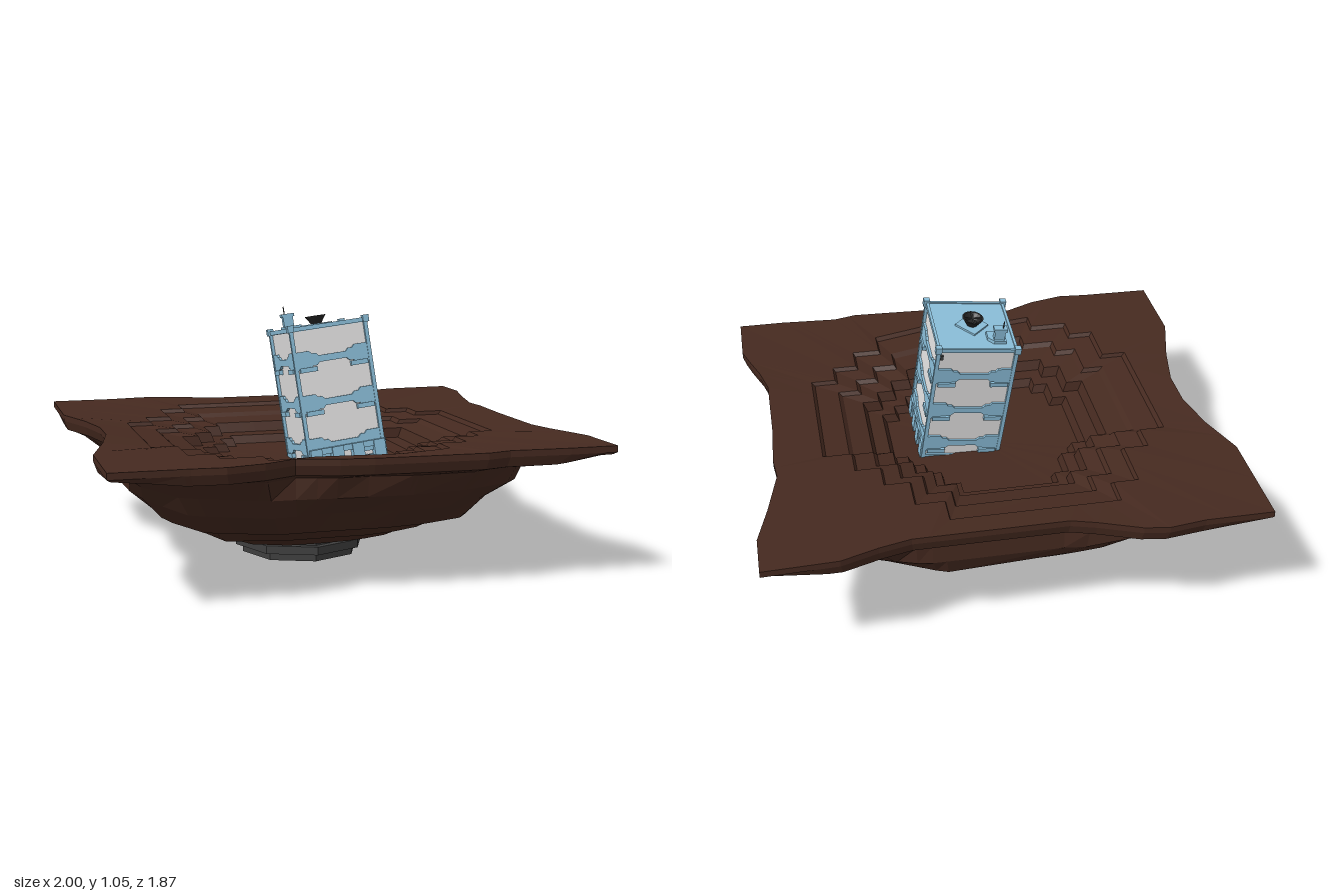
import * as THREE from 'three';

const mat = (name, color) => Object.assign(new THREE.MeshStandardMaterial({ color }), { name });
const points = list => list.map(([x, y]) => new THREE.Vector2(x, y));

// Plan of the ragged land edge, and of the blocky crater edge (x, z)
const OUTLINE = [
  [1, -.92], [1, -.73], [.95, -.55], [.9, -.33], [.91, -.22], [.9, 0], [.9, .35], [.93, .47], [.97, .58], [1, .67],
  [1, .92], [.8, .92], [.55, .905], [.45, .93], [.2, .92], [0, .91], [-.13, .89], [-.29, .84], [-.42, .9],
  [-.57, .935], [-.7, .925], [-1, .92], [-1, .55], [-.93, .3], [-.89, .1], [-.89, -.08], [-.93, -.27], [-1, -.47],
  [-1, -.92], [-.72, -.92], [-.57, -.94], [-.47, -.925], [-.3, -.86], [-.2, -.83], [.42, -.83], [.55, -.86], [.7, -.91],
];
const CRATER = [
  [.47, -.14], [.47, .25], [.4, .25], [.4, .32], [.33, .32], [.33, .4], [.25, .4], [.25, .48], [.1, .52], [-.12, .5],
  [-.25, .52], [-.25, .46], [-.36, .46], [-.36, .39], [-.43, .39], [-.43, .25], [-.5, .25], [-.5, -.17], [-.43, -.17],
  [-.43, -.25], [-.36, -.25], [-.36, -.4], [-.29, -.4], [-.29, -.48], [.17, -.48], [.17, -.4], [.25, -.4], [.25, -.3],
  [.32, -.3], [.32, -.22], [.39, -.22], [.39, -.14],
];

// Distance from the centre to a polygon along an angle
function reach(poly, a) {
  const dx = Math.cos(a), dz = Math.sin(a);
  let best = 0;
  poly.forEach(([px, pz], i) => {
    const [qx, qz] = poly[(i + 1) % poly.length];
    const ex = qx - px, ez = qz - pz, det = dx * ez - dz * ex;
    if (Math.abs(det) < 1e-9) return;
    const t = (px * ez - pz * ex) / det, u = (px * dz - pz * dx) / det;
    if (u > -1e-6 && u < 1 + 1e-6 && t > best) best = t;
  });
  return best;
}

// Faceted skin through rings of points, listed from below to above
function loft(rings) {
  const pos = [], n = rings[0].length;
  for (let r = 0; r + 1 < rings.length; r++) {
    for (let i = 0; i < n; i++) {
      const j = (i + 1) % n, a = rings[r], b = rings[r + 1];
      pos.push(...a[i], ...b[i], ...a[j], ...a[j], ...b[i], ...b[j]);
    }
  }
  const g = new THREE.BufferGeometry();
  g.setAttribute('position', new THREE.Float32BufferAttribute(pos, 3));
  g.computeVertexNormals();
  return g;
}

export function createModel() {
  const soil = mat('soil brown', 0x462a20), blue = mat('light blue', 0x8bbfda), white = mat('wall white', 0xe6e5e5);
  const iron = mat('dark grey', 0x3e3e3e), black = mat('near black', 0x262626);
  const model = new THREE.Group();
  const add = (parent, name, geo, material, x = 0, y = 0, z = 0) => {
    const m = new THREE.Mesh(geo, material);
    m.name = name;
    m.position.set(x, y, z);
    parent.add(m);
    return m;
  };
  const box = (parent, name, material, w, h, d, x, y, z) =>
    add(parent, name, new THREE.BoxGeometry(w, h, d), material, x, y, z);

  let seed = 7;
  const rand = () => (seed = (seed * 16807) % 2147483647) / 2147483647;

  // Land: shared spoke angles through every corner of both plans
  const angles = [...new Set([...OUTLINE, ...CRATER].map(([x, z]) => +Math.atan2(z, x).toFixed(4)))].sort((a, b) => a - b);
  const ring = (radius, y) => angles.map(a => {
    const r = radius(a);
    return [r * Math.cos(a), typeof y === 'function' ? y(r) : y, r * Math.sin(a)];
  });
  const edge = s => a => s * reach(OUTLINE, a);
  const crater = s => a => s * reach(CRATER, a);
  const corner = r => THREE.MathUtils.smoothstep(r, 1.15, 1.32);
  // Rough rock outline, wider toward the diagonals
  const rock = R => {
    const poly = [];
    for (let k = 0; k < 16; k++) {
      const t = k * Math.PI / 8, r = R * (1 + .2 * Math.sin(2 * t) ** 2 + (rand() - .5) * .1);
      poly.push([r * Math.cos(t) - .035, r * Math.sin(t)]);
    }
    return a => Math.min(reach(poly, a), .95 * reach(OUTLINE, a));
  };
  const lower = ring(edge(1), .53);
  add(model, 'rocky underside', loft([
    ring(() => 0, .1), ring(rock(.35), .1), ring(rock(.42), .145), ring(rock(.49), .155), ring(rock(.57), .21),
    ring(rock(.63), .22), ring(rock(.74), .31), ring(rock(.8), .39), ring(rock(.87), .475),
    ring(edge(.985), r => .49 + .03 * corner(r)), lower,
  ]), soil);
  add(model, 'ground with crater', loft([
    lower, ring(edge(1), .556), ring(crater(1.5), .543), ring(crater(1.47), .527), ring(crater(1.26), .515),
    ring(crater(1.22), .498), ring(crater(1.04), .483), ring(crater(1), .44), ring(crater(.87), .435),
    ring(crater(.83), .4), ring(() => 0, .39),
  ]), soil);

  // Octagonal foot under the rock
  const foot = new THREE.Group();
  foot.name = 'foot';
  foot.position.set(-.045, 0, .03);
  model.add(foot);
  const octagon = (name, r, h, y, m) => add(foot, name,
    new THREE.CylinderGeometry(r, r, h, 8).toNonIndexed(), m, 0, y, 0).geometry.computeVertexNormals();
  octagon('foot drum', .255, .12, .064, iron);
  octagon('foot flange', .285, .035, .055, iron);
  octagon('foot bottom plate', .215, .008, .004, white);

  // Leaning tower, built from its roof level at y = 0 downward
  const tower = new THREE.Group();
  tower.name = 'tower';
  tower.position.set(.038, .969, .012);
  tower.rotation.set(-.13, 0, .12);
  model.add(tower);
  box(tower, 'white walls', white, .318, .58, .318, 0, -.295, 0);
  box(tower, 'roof slab', blue, .326, .014, .326, 0, -.003, 0);
  box(tower, 'plinth', blue, .336, .024, .336, 0, -.578, 0);

  // Band that is deep at the ends and narrow in the middle
  const top = [[.06, .014], [.072, .026], [.09, .026], [.1, .038], [.166, .038]];
  const bandShape = new THREE.Shape(points([
    ...top.map(([x, y]) => [-x, y]),
    ...top.slice().reverse().map(([x, y]) => [-x, -y]),
    ...top.map(([x, y]) => [x, -y]),
    ...top.slice().reverse(),
  ]));
  const bandGeo = new THREE.ExtrudeGeometry(bandShape, { depth: .012, bevelEnabled: false });

  for (let k = 0; k < 4; k++) {
    const side = new THREE.Group();
    side.name = 'tower side';
    side.rotation.y = k * Math.PI / 2;
    tower.add(side);
    box(side, 'corner post', blue, .016, .585, .016, .164, -.293, .164);
    box(side, 'roof corner block', blue, .026, .03, .026, .166, .004, .166);
    box(side, 'roof rim', blue, .33, .018, .012, 0, 0, .163);
    for (const y of [-.134, -.317, -.5]) {
      add(side, 'wall band', bandGeo, blue, 0, y, .157);
      for (const s of [-1, 1]) box(side, 'band ledge', blue, .075, .02, .02, s * .112, y - .04, .166);
    }
    // Ground floor piers on the front and left sides
    if (k > 1) continue;
    const deep = k ? .018 : .035;
    for (const x of [-.14, -.045, .045, .14]) box(side, 'pier', blue, .05, .085, deep, x, -.55, .16 + deep / 2);
    box(side, 'pier lintel', blue, .32, .025, deep * .8, 0, -.52, .16 + deep * .4);
  }

  // Roof fittings
  box(tower, 'dish plate', blue, .1, .008, .1, 0, .009, 0).rotation.y = Math.PI / 4;
  const bowl = new THREE.LatheGeometry(
    points([[0, .012], [.022, .012], [.045, .047], [.038, .047], [.02, .024], [0, .024]]), 16).toNonIndexed();
  bowl.computeVertexNormals();
  add(tower, 'dish bowl', bowl, black);
  for (const r of [0, Math.PI / 2]) box(tower, 'dish spoke', iron, .078, .004, .006, 0, .043, 0).rotation.y = r;
  const hut = new THREE.Shape(points([[-.04, -.035], [.035, -.035], [.035, .01], [.01, .035], [-.04, .035]]));
  const hutGeo = new THREE.ExtrudeGeometry(hut, { depth: .016, bevelEnabled: false }).rotateX(-Math.PI / 2);
  add(tower, 'hut base', hutGeo, blue, -.085, .003, -.09);
  box(tower, 'roof hut', blue, .044, .05, .026, -.095, .04, -.105);
  box(tower, 'roof hut cap', blue, .056, .014, .034, -.095, .067, -.105);
  box(tower, 'antenna', iron, .004, .034, .004, -.105, .09, -.11);
  box(tower, 'wall lamp', iron, .012, .02, .012, .15, -.03, -.172);
  return model;
}
